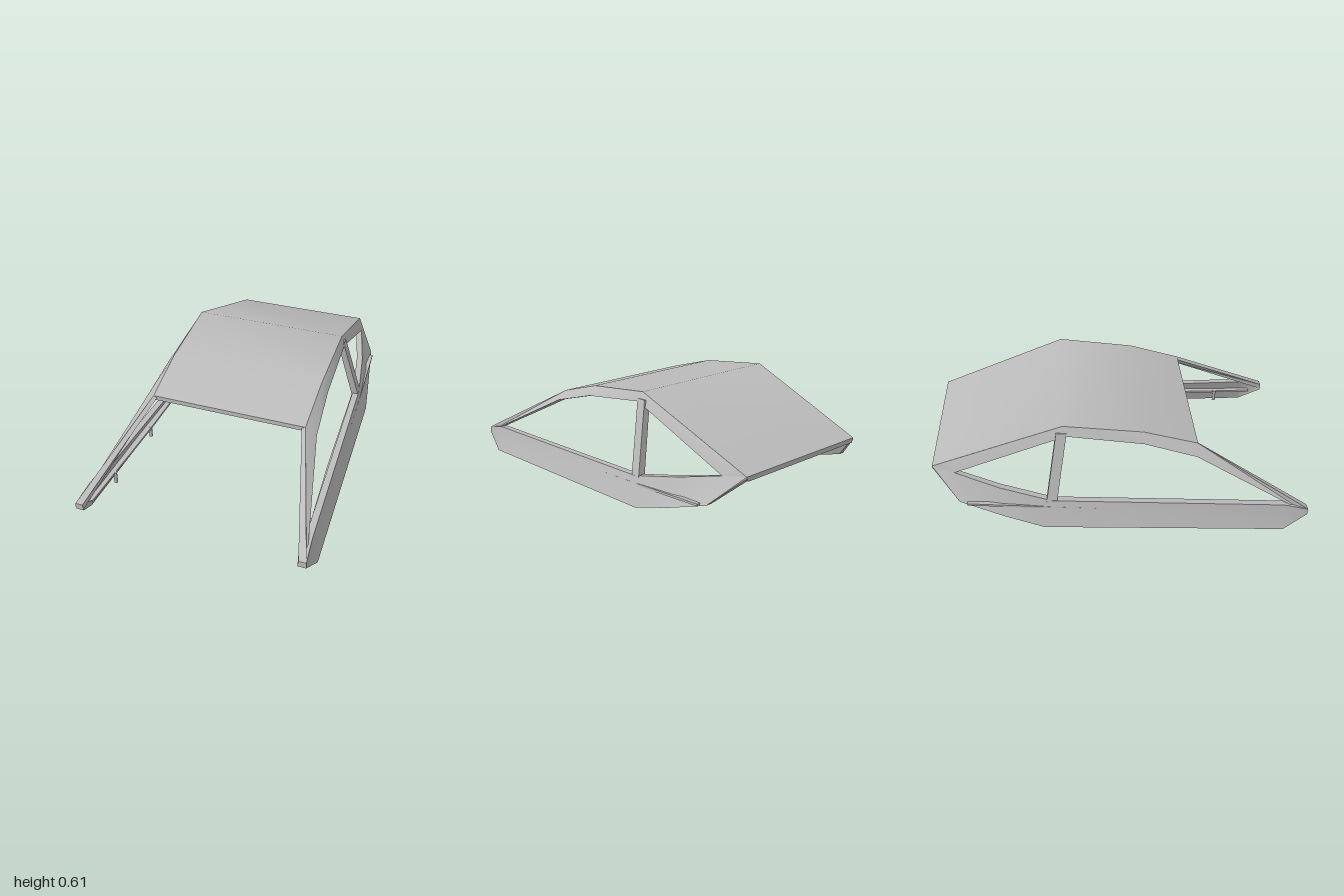
import * as THREE from 'three';
import { toCreasedNormals } from 'three/addons/utils/BufferGeometryUtils.js';

// Solid lofted through four-cornered sections; mirror = -1 builds the opposite side.
function loft(sections, mirror = 1) {
  const pos = [];
  const tri = (a, b, c) => {
    for (const p of mirror < 0 ? [a, c, b] : [a, b, c]) pos.push(p[0] * mirror, p[1], p[2]);
  };
  const quad = (a, b, c, d) => { tri(a, b, c); tri(a, c, d); };
  for (let i = 0; i < sections.length - 1; i++) {
    const s = sections[i], n = sections[i + 1];
    for (let j = 0; j < 4; j++) {
      const k = (j + 1) % 4;
      quad(s[j], n[j], n[k], s[k]);
    }
  }
  quad(...sections[0]);
  quad(...[...sections[sections.length - 1]].reverse());
  const geo = new THREE.BufferGeometry();
  geo.setAttribute('position', new THREE.Float32BufferAttribute(pos, 3));
  return toCreasedNormals(geo, 0.55);
}

// Sections: outer bottom, outer top, inner top, inner bottom
const SILL = [
  [[0.62, 0.09, 1], [0.62, 0.125, 1], [0.58, 0.125, 1], [0.575, 0.09, 1]],
  [[0.645, 0.01, 0.87], [0.61, 0.155, 0.87], [0.575, 0.155, 0.87], [0.615, 0, 0.87]],
  [[0.595, 0.06, -0.42], [0.55, 0.205, -0.37], [0.515, 0.205, -0.37], [0.565, 0.06, -0.42]],
  [[0.56, 0.12, -0.63], [0.505, 0.27, -0.64], [0.47, 0.27, -0.64], [0.53, 0.12, -0.63]],
  [[0.52, 0.2, -0.86], [0.44, 0.335, -0.88], [0.405, 0.33, -0.88], [0.485, 0.2, -0.86]],
  [[0.4, 0.345, -1], [0.4, 0.355, -1], [0.37, 0.352, -1], [0.37, 0.34, -1]],
];

const RAIL = [
  [[0.622, 0.095, 1], [0.62, 0.125, 1], [0.58, 0.125, 1], [0.577, 0.095, 1]],
  [[0.49, 0.415, 0.4], [0.43, 0.46, 0.41], [0.41, 0.45, 0.41], [0.445, 0.41, 0.4]],
  [[0.47, 0.5, 0.12], [0.432, 0.55, 0.12], [0.41, 0.54, 0.12], [0.43, 0.495, 0.12]],
  [[0.457, 0.56, -0.285], [0.435, 0.61, -0.3], [0.41, 0.598, -0.3], [0.42, 0.555, -0.285]],
  [[0.44, 0.335, -0.88], [0.405, 0.395, -0.89], [0.38, 0.385, -0.89], [0.4, 0.33, -0.88]],
  [[0.4, 0.345, -1], [0.4, 0.355, -1], [0.37, 0.352, -1], [0.37, 0.34, -1]],
];

// Sections: outer back, outer front, inner front, inner back
const PILLAR = [
  [[0.553, 0.19, -0.402], [0.553, 0.19, -0.347], [0.513, 0.19, -0.347], [0.513, 0.19, -0.402]],
  [[0.453, 0.575, -0.335], [0.453, 0.575, -0.28], [0.418, 0.575, -0.28], [0.418, 0.575, -0.335]],
];

// Thin ledge along the inside of the sill
const ledgeY = (z) => 0.2 - (z + 0.82) * 0.063;
const ledgeSection = (z, outer, inner) => {
  const y = ledgeY(z);
  return [[outer, y - 0.012, z], [outer, y, z], [inner, y, z], [inner, y - 0.012, z]];
};
const LEDGE = [
  ledgeSection(0.92, 0.6, 0.57),
  ledgeSection(0.28, 0.59, 0.53),
  ledgeSection(-0.4, 0.56, 0.505),
  ledgeSection(-0.82, 0.538, 0.5),
];

// Roof profile: z, top y, half width
const ROOF = [[0.41, 0.46, 0.43], [0.12, 0.55, 0.432], [-0.3, 0.61, 0.435], [-1, 0.355, 0.4]];

// Pegs under the ledge: z, x
const PEGS = [[0.69, 0.557], [0.28, 0.54], [-0.12, 0.525], [-0.42, 0.515]];

export function createModel() {
  const model = new THREE.Group();
  model.name = 'canopyFrame';
  const grey = new THREE.MeshStandardMaterial({ color: 0xbbbbbb });
  grey.name = 'lightGrey';
  const add = (parent, name, geo) => {
    const mesh = new THREE.Mesh(geo, grey);
    mesh.name = name;
    parent.add(mesh);
    return mesh;
  };

  // Curved roof sheet
  const t = 0.025;
  add(model, 'roof', loft(ROOF.map(([z, y, w]) => [
    [w - 0.01, y - t, z], [w, y, z], [-w, y, z], [-w + 0.01, y - t, z],
  ])));

  // Two mirrored side frames
  for (const side of [1, -1]) {
    const frame = new THREE.Group();
    frame.name = side > 0 ? 'leftFrame' : 'rightFrame';
    add(frame, 'sill', loft(SILL, side));
    add(frame, 'roofRail', loft(RAIL, side));
    add(frame, 'middlePillar', loft(PILLAR, side));
    add(frame, 'ledge', loft(LEDGE, side));
    for (const [z, x] of PEGS) {
      add(frame, 'peg', new THREE.CylinderGeometry(0.01, 0.01, 0.07, 12))
        .position.set(side * x, ledgeY(z) - 0.035, z);
    }
    model.add(frame);
  }
  return model;
}
